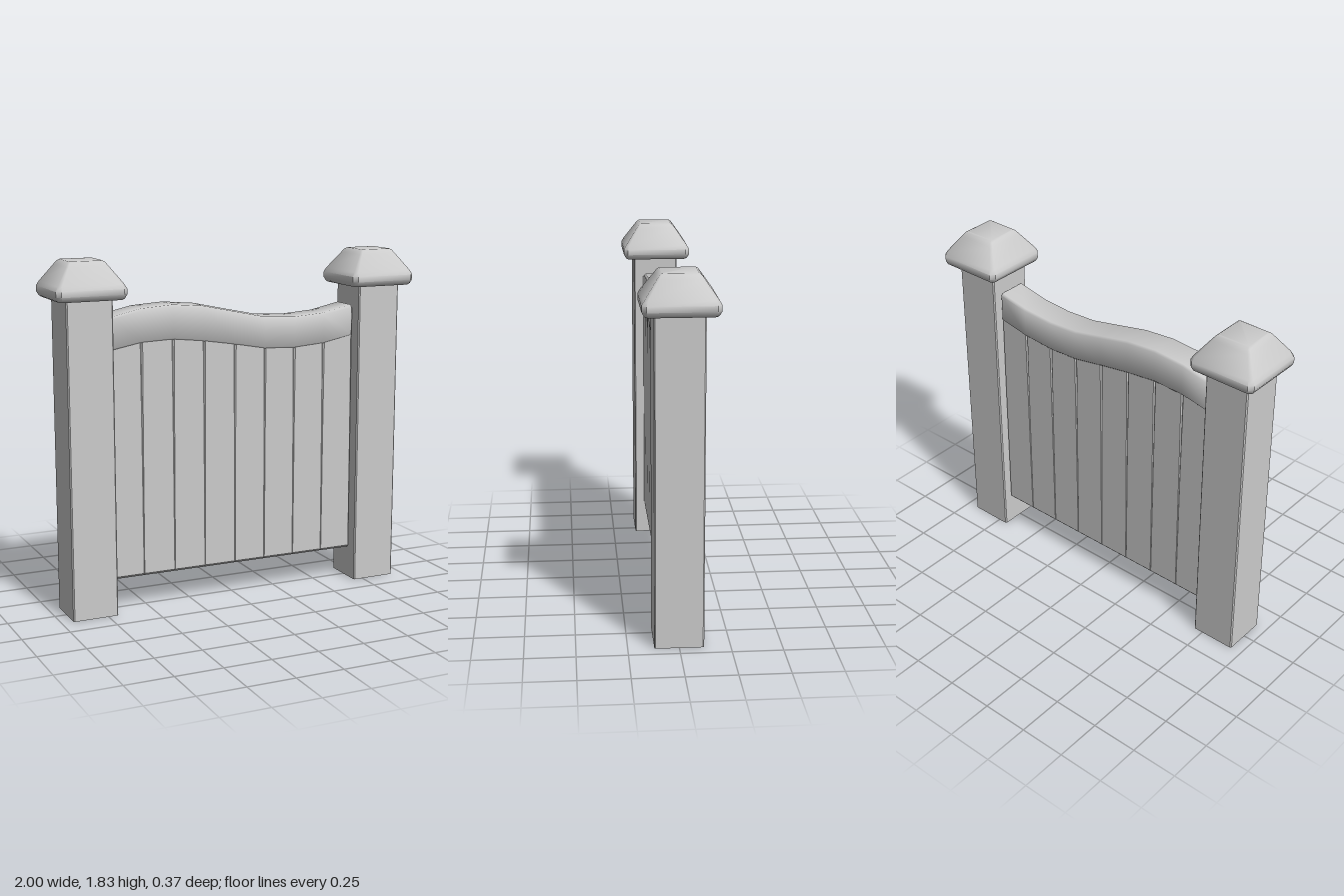
import * as THREE from 'three';
import { toCreasedNormals } from 'three/addons/utils/BufferGeometryUtils.js';

const grey = new THREE.MeshStandardMaterial({ color: 0xcccccc });
const greyOpen = new THREE.MeshStandardMaterial({ color: 0xcccccc, side: THREE.DoubleSide });

// Chamfered rectangle, counter-clockwise in (u, v)
function chamferRect(u0, u1, v0, v1, c) {
  return [
    [u0 + c, v0], [u1 - c, v0], [u1, v0 + c], [u1, v1 - c],
    [u1 - c, v1], [u0 + c, v1], [u0, v1 - c], [u0, v0 + c],
  ];
}

// Skin a list of equal-length rings of [x, y, z] points
function loft(rings, { start = true, end = true, crease = 0.6 } = {}) {
  const n = rings[0].length, pos = [];
  const tri = (a, b, c) => pos.push(...a, ...b, ...c);
  for (let i = 0; i < rings.length - 1; i++) {
    for (let j = 0; j < n; j++) {
      const k = (j + 1) % n, lo = rings[i], hi = rings[i + 1];
      tri(lo[j], lo[k], hi[k]);
      tri(lo[j], hi[k], hi[j]);
    }
  }
  const first = rings[0], last = rings[rings.length - 1];
  for (let j = 1; j < n - 1; j++) {
    if (start) tri(first[0], first[j + 1], first[j]);
    if (end) tri(last[0], last[j], last[j + 1]);
  }
  const geo = new THREE.BufferGeometry();
  geo.setAttribute('position', new THREE.Float32BufferAttribute(pos, 3));
  return toCreasedNormals(geo, crease);
}

// Horizontal ring; y may be a number or a function of x
function levelRing(x0, x1, z0, z1, c, y) {
  return chamferRect(z0, z1, x0, x1, c).map(([z, x]) => [x, typeof y === 'function' ? y(x) : y, z]);
}

function addMesh(parent, name, geo, material = grey) {
  const mesh = new THREE.Mesh(geo, material);
  mesh.name = name;
  parent.add(mesh);
  return mesh;
}

// Wave of the top rail: [x, lower edge, upper edge]
const wave = [
  [-0.7, 1.37, 1.54], [-0.53, 1.4, 1.575], [-0.357, 1.406, 1.586],
  [-0.184, 1.386, 1.57], [-0.01, 1.358, 1.532], [0.163, 1.326, 1.495],
  [0.336, 1.319, 1.485], [0.51, 1.332, 1.497], [0.685, 1.365, 1.532],
];

function createPost(side) {
  const post = new THREE.Group();
  post.name = side > 0 ? 'leftPost' : 'rightPost';
  post.position.x = 0.817 * side;

  // Hollow shaft, open underneath
  const shaft = [0, 1.66].map((y) => levelRing(-0.121, 0.121, -0.121, 0.121, 0.006, y));
  addMesh(post, 'postShaft', loft(shaft, { start: false }), greyOpen);

  // Cap profile: [y, half width, corner chamfer]
  const profile = [
    [1.635, 0.163, 0.012], [1.642, 0.172, 0.016], [1.662, 0.183, 0.022], [1.69, 0.183, 0.022],
    [1.713, 0.17, 0.016], [1.8, 0.109, 0.01], [1.818, 0.096, 0.008], [1.825, 0.085, 0.006],
  ];
  const cap = profile.map(([y, h, c]) => levelRing(-h, h, -h, h, c, y));
  addMesh(post, 'postCap', loft(cap, { crease: 0.75 })).position.z = -0.004;
  return post;
}

function createPanel() {
  const panel = new THREE.Group();
  panel.name = 'gatePanel';

  // Planks: grooves between them widen toward the top
  for (let i = 0; i < wave.length - 1; i++) {
    const [xa, lowA] = wave[i], [xb, lowB] = wave[i + 1];
    const top = (x) => lowA + (lowB - lowA) * (x - xa) / (xb - xa) + 0.03;
    const z0 = -0.08, z1 = 0.069, e = 0.01;
    const plank = [
      levelRing(xa, xb, z0 + e, z1 - e, 0.002, 0.176),
      levelRing(xa, xb, z0, z1, 0.002, 0.188),
      levelRing(xa, xb, z0, z1, 0.004, 0.9),
      levelRing(xa, xb, z0, z1, 0.007, top),
    ];
    addMesh(panel, `plank${i + 1}`, loft(plank));
  }

  // Wavy top rail with softened edges and ends
  const railRing = ([x, low, high], inset = 0) =>
    chamferRect(low + inset, high - inset, -0.087 + inset, 0.075 - inset, 0.01).map(([y, z]) => [x, y, z]);
  const shift = ([x, low, high], dx) => [x + dx, low, high];
  const a = wave[0], b = wave[wave.length - 1];
  const rail = [
    railRing(a, 0.01), railRing(shift(a, 0.01)),
    ...wave.slice(1, -1).map((w) => railRing(w)),
    railRing(shift(b, -0.01)), railRing(b, 0.01),
  ];
  addMesh(panel, 'topRail', loft(rail, { crease: 0.8 }));
  return panel;
}

export function createModel() {
  const gate = new THREE.Group();
  gate.name = 'gate';
  gate.add(createPost(-1), createPost(1), createPanel());
  return gate;
}
